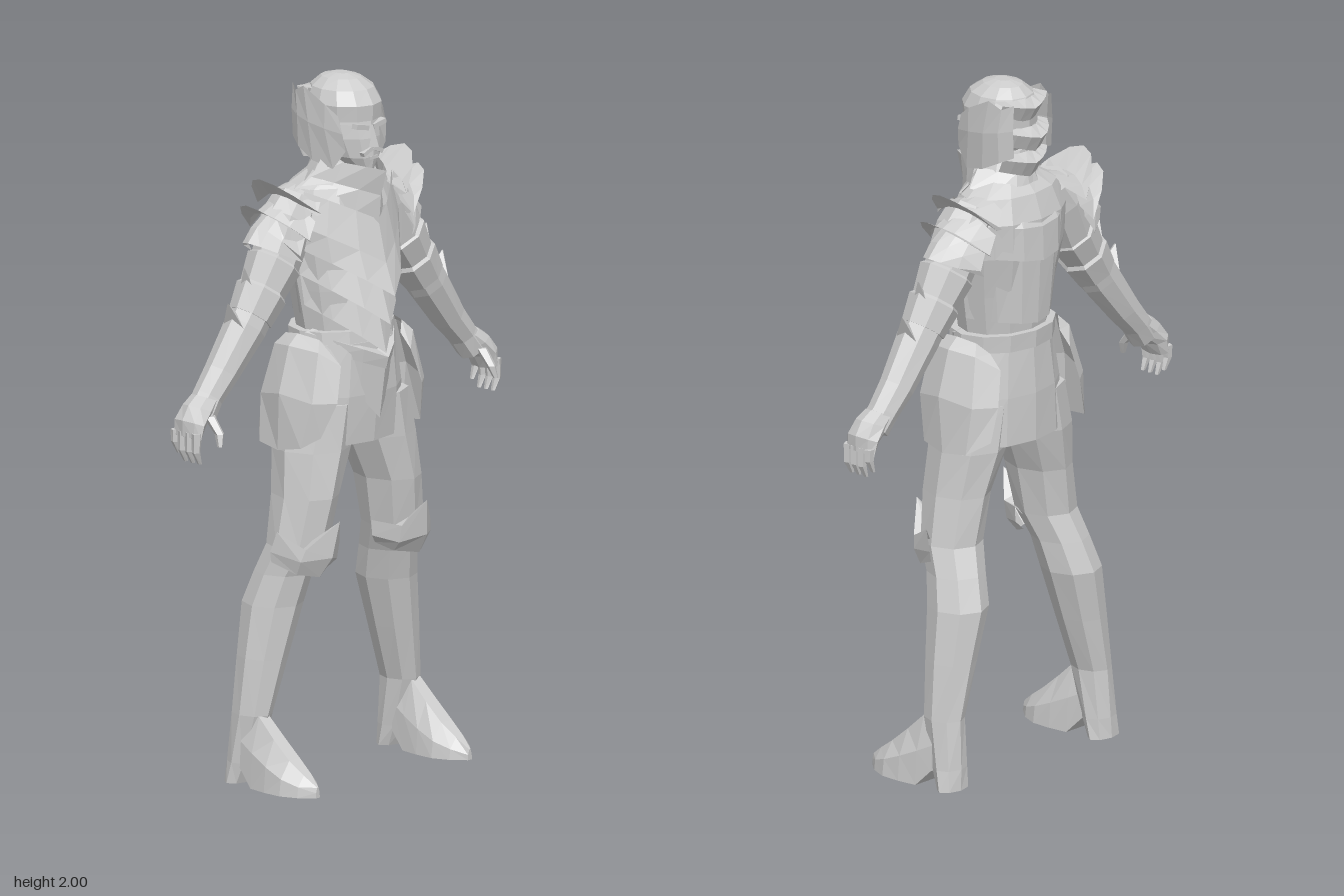
import * as THREE from 'three';

const steel = new THREE.MeshStandardMaterial({ color: 0xcccccc, flatShading: true, side: THREE.DoubleSide });
steel.name = 'plain grey';

// Joins rows of points into a skin; closed rows become capped tubes
function loft(name, rows, closed = true) {
  const pos = [], n = rows[0].length, tri = (...p) => p.forEach((q) => pos.push(...q));
  for (let i = 0; i < rows.length - 1; i++) {
    for (let j = 0; j < (closed ? n : n - 1); j++) {
      const k = (j + 1) % n, a = rows[i][j], b = rows[i][k], c = rows[i + 1][k], d = rows[i + 1][j];
      tri(a, b, c, a, c, d);
    }
  }
  if (closed) {
    const first = rows[0], last = rows[rows.length - 1];
    const mid = (r) => [0, 1, 2].map((c) => r.reduce((s, p) => s + p[c], 0) / n);
    for (let j = 0; j < n; j++) {
      const k = (j + 1) % n;
      tri(mid(first), first[k], first[j]);
      tri(mid(last), last[j], last[k]);
    }
  }
  const g = new THREE.BufferGeometry();
  g.setAttribute('position', new THREE.Float32BufferAttribute(pos, 3));
  g.computeVertexNormals();
  const m = new THREE.Mesh(g, steel);
  m.name = name;
  return m;
}

// Tube of elliptical sections [x, y, z, half width, half depth], listed upward
function limb(name, sections, sides = 8, tilt = 0) {
  return loft(name, sections.map(([x, y, z, ru, rz]) => Array.from({ length: sides }, (_, j) => {
    const a = (j / sides) * Math.PI * 2, u = ru * Math.sin(a);
    return [x + u * Math.cos(tilt), y + u * Math.sin(tilt), z + rz * Math.cos(a)];
  })));
}

// V-shaped plate; rows are [centre y, side y, centre z, side z, half width]
function chevron(name, rows, power = 1.4, dir = 1) {
  const cols = [-1, -0.7, -0.35, 0, 0.35, 0.7, 1];
  return loft(name, rows.map(([yc, ys, zc, zs, w]) => cols.map((s) => {
    const t = Math.abs(s);
    return [dir * s * w, yc + (ys - yc) * t, zc + (zs - zc) * t ** power];
  })), false);
}

// Shoulder layer; rows are [x, y, half depth, end inset, end drop]
function shoulderLayer(rows) {
  const cols = [-1, -0.66, -0.33, 0, 0.33, 0.66, 1];
  return loft('shoulderPlate', rows.map(([x, y, hz, dx, dy]) =>
    cols.map((t) => [x - dx * t * t, y - dy * t * t, -0.06 + hz * t])), false);
}

function buildSide() {
  const g = new THREE.Group();

  // Leg and boot
  g.add(limb('leg', [
    [0.305, 0, -0.122, 0.055, 0.033], [0.302, 0.06, -0.108, 0.053, 0.045],
    [0.297, 0.2, -0.083, 0.052, 0.062], [0.262, 0.36, -0.076, 0.07, 0.075],
    [0.228, 0.51, -0.07, 0.083, 0.09], [0.21, 0.6, -0.045, 0.08, 0.085],
    [0.19, 0.68, -0.01, 0.085, 0.09], [0.165, 0.82, -0.005, 0.085, 0.105],
    [0.13, 0.95, -0.015, 0.107, 0.115], [0.105, 1.08, -0.015, 0.1, 0.115],
  ]));
  const foot = [[-0.08, 0.045, 0.2, 0.05], [-0.03, 0.054, 0.2, 0], [0.03, 0.062, 0.145, 0],
    [0.09, 0.062, 0.095, 0], [0.14, 0.042, 0.06, 0], [0.18, 0.008, 0.03, 0]];
  g.add(loft('foot', foot.map(([z, w, h, b]) => [[-w, b], [w, b], [w * 0.9, b + (h - b) * 0.5],
    [w * 0.35, h], [-w * 0.35, h], [-w * 0.9, b + (h - b) * 0.5]].map(([x, y]) => [0.305 + x, y, z]))));

  // Winged knee guard
  g.add(loft('kneeGuard', [
    [[0.11, 0.63, 0], [0.135, 0.61, 0.05], [0.2, 0.6, 0.085], [0.255, 0.61, 0.05], [0.285, 0.64, -0.02]],
    [[0.088, 0.655, 0.01], [0.125, 0.64, 0.08], [0.19, 0.66, 0.125], [0.26, 0.65, 0.07], [0.29, 0.67, -0.02]],
    [[0.085, 0.7, 0.01], [0.125, 0.69, 0.09], [0.175, 0.765, 0.14], [0.25, 0.685, 0.08], [0.283, 0.73, 0]],
    [[0.11, 0.67, 0], [0.13, 0.68, 0.04], [0.18, 0.71, 0.07], [0.23, 0.68, 0.04], [0.26, 0.68, 0]],
  ], false));

  // Hip guard hanging from the belt
  g.add(loft('hipGuard', [
    [[0.2, 1.0, 0.09], [0.24, 0.97, 0.05], [0.25, 0.955, -0.03], [0.24, 0.965, -0.11], [0.19, 1.0, -0.16]],
    [[0.17, 1.1, 0.125], [0.225, 1.1, 0.08], [0.255, 1.12, -0.02], [0.225, 1.1, -0.12], [0.165, 1.1, -0.165]],
    [[0.14, 1.2, 0.11], [0.19, 1.24, 0.07], [0.215, 1.25, -0.02], [0.19, 1.24, -0.1], [0.14, 1.2, -0.15]],
    [[0.14, 1.24, 0.07], [0.165, 1.27, 0.05], [0.18, 1.28, -0.02], [0.165, 1.27, -0.08], [0.14, 1.24, -0.11]],
  ], false));

  // Arm with flared elbow cuff
  const tilt = 0.64;
  g.add(limb('arm', [
    [0.545, 1.105, -0.045, 0.045, 0.045], [0.51, 1.15, -0.05, 0.043, 0.045],
    [0.455, 1.21, -0.05, 0.05, 0.05], [0.365, 1.325, -0.045, 0.062, 0.06],
    [0.315, 1.395, -0.045, 0.062, 0.062], [0.25, 1.48, -0.045, 0.07, 0.072],
    [0.19, 1.6, -0.05, 0.075, 0.08], [0.15, 1.66, -0.05, 0.06, 0.07],
  ], 8, tilt));
  g.add(limb('elbowCuff', [
    [0.345, 1.35, -0.045, 0.066, 0.064], [0.3, 1.415, -0.045, 0.076, 0.075], [0.29, 1.43, -0.045, 0.06, 0.06],
  ], 8, tilt));
  g.add(limb('upperArmCuff', [
    [0.3, 1.415, -0.045, 0.066, 0.066], [0.25, 1.49, -0.045, 0.08, 0.08], [0.24, 1.5, -0.045, 0.065, 0.065],
  ], 8, tilt));
  const fin = (a, b, tip) => loft('cuffSpike', [
    [[...a, -0.085], [...a, -0.005], [...b, -0.045]], [[...tip, -0.05], [...tip, -0.045], [...tip, -0.048]],
  ]);
  g.add(fin([0.35, 1.4], [0.32, 1.43], [0.365, 1.495]));
  g.add(fin([0.41, 1.335], [0.38, 1.36], [0.43, 1.405]));

  // Hand with curled fingers and thumb
  g.add(limb('palm', [
    [0.595, 1.05, -0.045, 0.022, 0.052], [0.585, 1.09, -0.045, 0.034, 0.055],
    [0.55, 1.125, -0.045, 0.045, 0.048], [0.52, 1.15, -0.048, 0.04, 0.042],
  ], 8, 0.4));
  for (let i = 0; i < 4; i++) {
    const z = -0.085 + i * 0.027, lift = i === 0 ? 0.02 : 0;
    g.add(limb('finger', [
      [0.588, 0.98 + lift, z, 0.006, 0.007], [0.603, 1.015 + lift, z, 0.013, 0.012], [0.6, 1.07, z, 0.018, 0.014],
    ], 5));
  }
  g.add(limb('thumb', [
    [0.553, 1.03, 0.04, 0.007, 0.008], [0.545, 1.065, 0.03, 0.014, 0.014], [0.545, 1.11, -0.01, 0.018, 0.02],
  ], 5));

  // Three overlapping shoulder plates
  g.add(shoulderLayer([[0.13, 1.7, 0.085, 0, 0.03], [0.22, 1.68, 0.115, 0.04, 0.05], [0.29, 1.735, 0.125, 0.12, 0.1]]));
  g.add(shoulderLayer([[0.2, 1.67, 0.1, 0.03, 0.06], [0.28, 1.635, 0.115, 0.07, 0.07], [0.345, 1.67, 0.115, 0.14, 0.11]]));
  g.add(shoulderLayer([[0.24, 1.64, 0.09, 0.04, 0.07], [0.3, 1.6, 0.1, 0.07, 0.08], [0.338, 1.56, 0.1, 0.12, 0.06]]));

  // Helmet cheek wing
  g.add(loft('helmetWing', [
    [[0.08, 1.8, 0.07], [0.09, 1.745, 0.03], [0.1, 1.76, -0.04], [0.095, 1.79, -0.1], [0.075, 1.81, -0.14]],
    [[0.088, 1.85, 0.065], [0.104, 1.86, 0.01], [0.108, 1.87, -0.05], [0.1, 1.88, -0.1], [0.08, 1.89, -0.14]],
    [[0.09, 1.9, 0.05], [0.103, 1.93, 0.01], [0.105, 1.97, -0.07], [0.095, 1.95, -0.11], [0.075, 1.965, -0.14]],
  ], false));
  return g;
}

export function createModel() {
  const model = new THREE.Group();
  model.name = 'armouredFigure';

  // Torso, neck and skirt
  model.add(limb('torso', [
    [0, 1.18, -0.01, 0.15, 0.12], [0, 1.28, -0.025, 0.142, 0.11], [0, 1.4, -0.03, 0.165, 0.12],
    [0, 1.52, -0.04, 0.187, 0.133], [0, 1.62, -0.045, 0.195, 0.13], [0, 1.69, -0.045, 0.165, 0.105],
    [0, 1.73, -0.035, 0.095, 0.075], [0, 1.8, -0.03, 0.062, 0.06],
  ], 12));
  model.add(limb('skirt', [
    [0, 0.96, -0.025, 0.2, 0.128], [0, 1.1, -0.018, 0.19, 0.135], [0, 1.25, -0.015, 0.162, 0.128],
  ], 12));
  model.add(limb('belt', [
    [0, 1.235, -0.02, 0.168, 0.132], [0, 1.285, -0.025, 0.168, 0.13], [0, 1.285, -0.025, 0.145, 0.11],
  ], 12));

  // Layered V plates on the front
  model.add(chevron('frontFlap', [[1.03, 1.22, 0.125, 0.02, 0.155], [1.2, 1.26, 0.15, 0.01, 0.165]]));
  model.add(chevron('beltPlate', [[1.175, 1.24, 0.15, 0.0, 0.172], [1.21, 1.285, 0.16, 0.0, 0.172], [1.23, 1.29, 0.1, 0, 0.14]]));
  model.add(chevron('lowerChestPlate', [[1.22, 1.36, 0.15, -0.01, 0.163], [1.36, 1.45, 0.115, -0.02, 0.17]]));
  model.add(chevron('middleChestPlate', [[1.305, 1.45, 0.168, -0.01, 0.18], [1.45, 1.53, 0.12, -0.02, 0.185]]));
  model.add(chevron('upperChestPlate', [[1.39, 1.53, 0.185, 0, 0.196], [1.48, 1.6, 0.15, 0, 0.203], [1.6, 1.69, 0.12, 0, 0.175]]));

  // Back plates
  model.add(chevron('lowerBackPlate', [[1.31, 1.33, -0.16, -0.03, 0.155], [1.54, 1.54, -0.172, -0.04, 0.19]], 2.6, -1));
  model.add(chevron('upperBackPlate', [[1.5, 1.53, -0.183, -0.04, 0.195], [1.6, 1.62, -0.18, -0.05, 0.2], [1.71, 1.69, -0.12, -0.05, 0.16]], 2.6, -1));

  // Standing collar
  model.add(chevron('collar', [[1.58, 1.7, 0.122, -0.02, 0.165], [1.67, 1.72, 0.13, -0.02, 0.125], [1.745, 1.77, 0.152, -0.01, 0.095]], 1.2));
  model.add(chevron('backCollar', [[1.67, 1.71, -0.14, -0.03, 0.14], [1.74, 1.76, -0.12, -0.02, 0.095]], 2.2, -1));

  // Head and face
  model.add(limb('head', [
    [0, 1.74, 0.05, 0.03, 0.045], [0, 1.775, 0.02, 0.062, 0.082], [0, 1.83, 0, 0.08, 0.1],
    [0, 1.87, -0.01, 0.083, 0.102], [0, 1.94, -0.02, 0.08, 0.1],
  ], 12));
  model.add(loft('nose', [
    [[-0.016, 1.805, 0.09], [0, 1.808, 0.122], [0.016, 1.805, 0.09]],
    [[-0.007, 1.865, 0.085], [0, 1.865, 0.1], [0.007, 1.865, 0.085]],
  ]));
  const block = (name, x, y, z, w, h, d, rz = 0) => {
    const m = new THREE.Mesh(new THREE.BoxGeometry(w, h, d), steel);
    m.name = name;
    m.position.set(x, y, z);
    m.rotation.z = rz;
    model.add(m);
  };
  for (const s of [-1, 1]) {
    block('brow', s * 0.034, 1.865, 0.084, 0.05, 0.014, 0.02, s * 0.2);
    block('moustache', s * 0.02, 1.795, 0.094, 0.04, 0.012, 0.016, -s * 0.4);
  }
  block('lip', 0, 1.775, 0.096, 0.032, 0.009, 0.012);

  // Helmet dome and ragged rear guards
  model.add(limb('helmet', [
    [0, 1.88, -0.015, 0.095, 0.112], [0, 1.925, -0.015, 0.1, 0.115],
    [0, 1.965, -0.02, 0.084, 0.095], [0, 1.99, -0.025, 0.052, 0.062], [0, 2, -0.025, 0.02, 0.025],
  ], 12));
  for (const [y, z] of [[1.94, -0.15], [1.86, -0.175], [1.78, -0.155]]) {
    model.add(chevron('rearGuard', [[y - 0.045, y - 0.02, z + 0.025, -0.09, 0.085],
      [y, y + 0.02, z, -0.11, 0.09], [y + 0.025, y + 0.02, z + 0.04, -0.06, 0.08]], 2, -1));
  }

  // Mirrored limbs and side armour
  const left = buildSide(), right = buildSide();
  left.name = 'leftSide';
  right.name = 'rightSide';
  right.scale.x = -1;
  model.add(left, right);
  return model;
}
